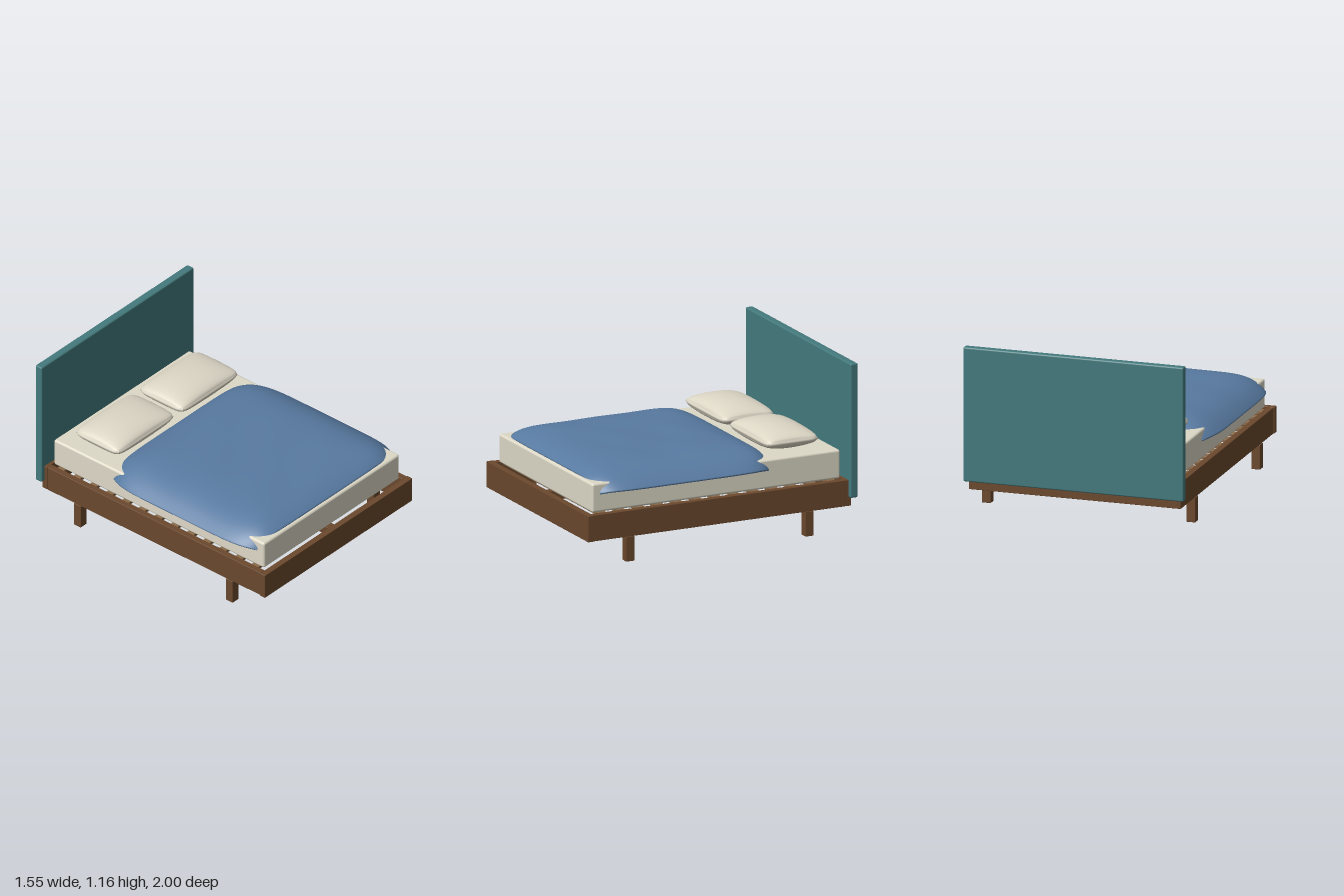
import * as THREE from 'three';
import { mergeVertices } from 'three/addons/utils/BufferGeometryUtils.js';
import { RoundedBoxGeometry } from 'three/addons/geometries/RoundedBoxGeometry.js';

const material = (name, color) => {
  const m = new THREE.MeshStandardMaterial({ color });
  m.name = name;
  return m;
};

// Soft closed slab: shape(u, v) gives [x, z, top, bottom] for u, v in -1..1
function softSlab(shape, bulge, nu, nv) {
  const geo = new THREE.BoxGeometry(2, 2, 2, nu, 4, nv);
  geo.deleteAttribute('uv');
  geo.deleteAttribute('normal');
  const p = geo.attributes.position;
  const warp = (t) => Math.sin((t * Math.PI) / 2); // finer grid near the rim
  for (let i = 0; i < p.count; i++) {
    const a = p.getX(i), w = p.getY(i), b = p.getZ(i);
    const [x, z, top, bottom] = shape(warp(a), warp(b));
    const out = bulge * Math.cos((w * Math.PI) / 2);
    const ox = Math.abs(a) > 0.9999 ? Math.sign(a) * out : 0;
    const oz = Math.abs(b) > 0.9999 ? Math.sign(b) * out : 0;
    p.setXYZ(i, x + ox, (top + bottom) / 2 + (w * (top - bottom)) / 2, z + oz);
  }
  const merged = mergeVertices(geo, 1e-5);
  merged.computeVertexNormals();
  return merged;
}

export function createModel() {
  const bed = new THREE.Group();
  bed.name = 'bed';
  const wood = material('brown wood', 0x6b482d);
  const slatWood = material('light slat wood', 0x8c6a48);
  const teal = material('teal upholstery', 0x447a7d);
  const linen = material('mattress linen', 0xded9c7);
  const cotton = material('pillow cotton', 0xdcd6c5);
  const blue = material('blue duvet', 0x587aa1);

  const add = (name, geo, mat) => {
    const mesh = new THREE.Mesh(geo, mat);
    mesh.name = name;
    bed.add(mesh);
    return mesh;
  };
  // Box given by its lower and upper limits
  const box = (name, mat, [x0, x1], [y0, y1], [z0, z1], r = 0.003) =>
    add(name, new RoundedBoxGeometry(x1 - x0, y1 - y0, z1 - z0, r > 0.01 ? 3 : 1, r), mat)
      .position.set((x0 + x1) / 2, (y0 + y1) / 2, (z0 + z1) / 2);

  // Headboard
  box('headboard', teal, [-0.775, 0.775], [0.23, 1.16], [-1, -0.944], 0.011);

  // Frame rails
  box('footRail', wood, [-0.75, 0.75], [0.17, 0.35], [0.955, 1]);
  box('headRail', wood, [-0.745, 0.745], [0.17, 0.35], [-0.965, -0.922]);
  for (const s of [-1, 1]) {
    const side = s > 0 ? 'left' : 'right';
    const span = (a, b) => (s > 0 ? [a, b] : [-b, -a]);
    box(side + 'SideRail', wood, span(0.699, 0.744), [0.17, 0.35], [-0.922, 0.955]);
    box(side + 'FrontLeg', wood, span(0.688, 0.75), [0, 0.171], [0.655, 0.716]);
    box(side + 'BackLeg', wood, span(0.688, 0.75), [0, 0.171], [-0.682, -0.621]);
  }

  // Support beam and slats
  box('centreBeam', wood, [-0.03, 0.03], [0.265, 0.328], [-0.922, 0.955]);
  const slats = 13;
  for (let i = 0; i < slats; i++) {
    const z = -0.84 + (i * 1.71) / (slats - 1);
    box('slat', slatWood, [-0.7, 0.7], [0.327, 0.35], [z - 0.029, z + 0.029], 0.002);
  }

  // Mattress
  box('mattress', linen, [-0.69, 0.69], [0.35, 0.55], [-0.912, 0.94], 0.016);

  // Duvet drooping over the sides, lowest at its corners
  const duvet = (u, v) => {
    const a = Math.abs(u), b = Math.abs(v);
    const x = 0.765 * u * (1 - 0.09 * b ** 7);
    const z = 0.255 + 0.66 * v * (1 - 0.055 * a ** 6);
    const fall = Math.hypot(0.125 * a ** 5.5, 0.07 * b ** 6);
    const ripple = 0.003 * Math.sin(9 * v + 2 * u) * Math.cos(5 * u) * (1 - a ** 4) * (1 - b ** 4);
    const top = 0.633 - fall + ripple;
    return [x, z, top, top - 0.016 - 0.09 * (1 - a ** 6) * (1 - b ** 6)];
  };
  add('duvet', softSlab(duvet, 0.006, 56, 56), blue);

  // Pillows
  const pillow = (u, v) => {
    const a = Math.abs(u), b = Math.abs(v);
    const h = 0.014 + 0.063 * Math.sqrt((1 - a ** 2.2) * (1 - b ** 2));
    const x = 0.289 * u * (1 - 0.06 * b ** 10);
    const z = 0.192 * v * (1 - 0.07 * a ** 10);
    return [x, z, h, -h];
  };
  const pillowGeo = softSlab(pillow, 0.008, 32, 28);
  for (const s of [-1, 1])
    add(s > 0 ? 'leftPillow' : 'rightPillow', pillowGeo, cotton).position.set(s * 0.326, 0.624, -0.6);

  return bed;
}
